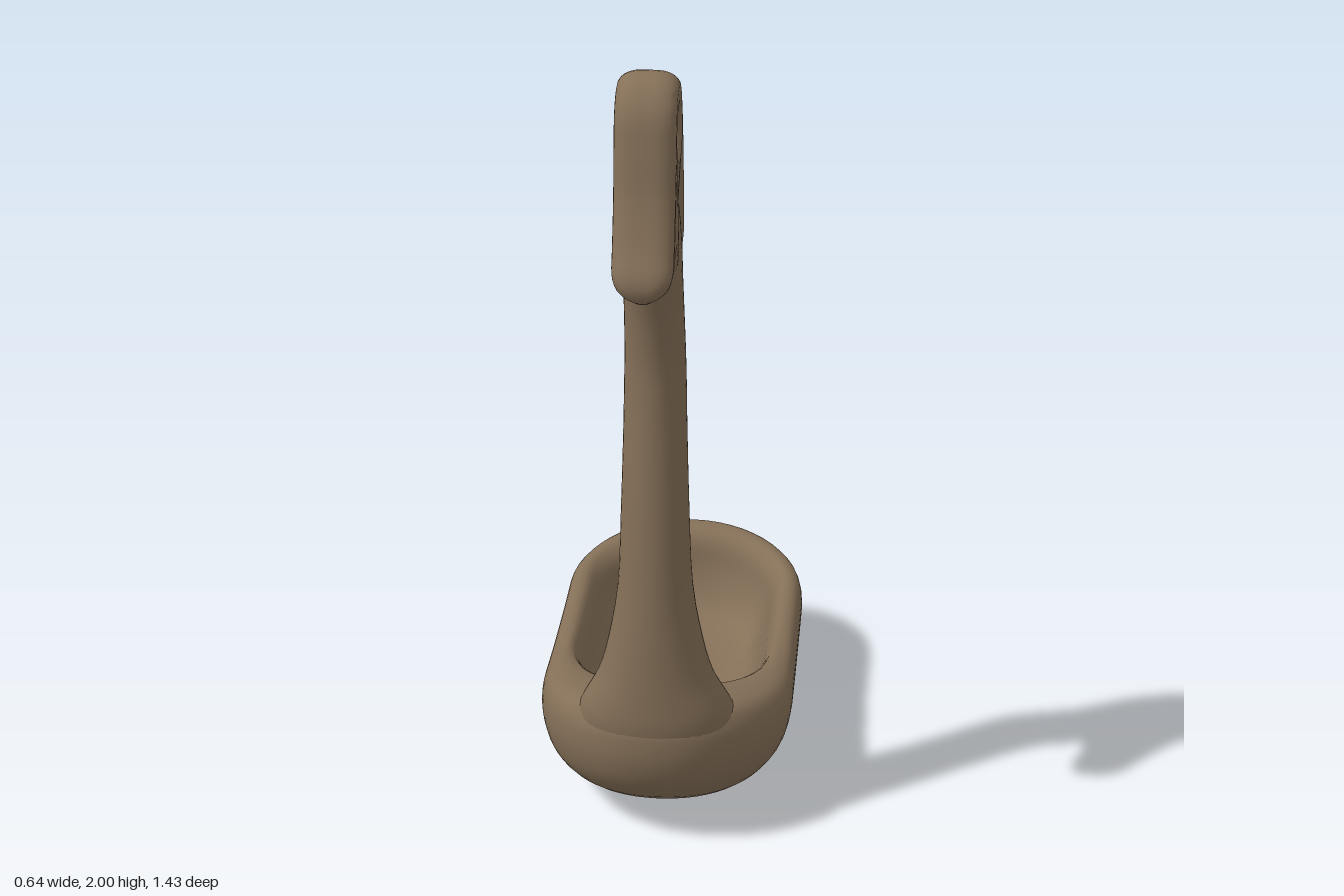
import * as THREE from 'three';
import { toCreasedNormals } from 'three/addons/utils/BufferGeometryUtils.js';

const clay = new THREE.MeshStandardMaterial({ color: 0x857058 });
clay.name = 'brown clay';

// Insert in-between rows with a Catmull-Rom rule, column by column
function refine(rows, steps) {
  const out = [];
  const at = (i) => rows[Math.min(Math.max(i, 0), rows.length - 1)];
  for (let i = 0; i < rows.length - 1; i++) {
    for (let s = 0; s < steps; s++) {
      const t = s / steps;
      out.push(rows[i].map((p1, k) => {
        const p0 = at(i - 1)[k], p2 = at(i + 1)[k], p3 = at(i + 2)[k];
        return p1 + 0.5 * t * (p2 - p0 + t * (2 * p0 - 5 * p1 + 4 * p2 - p3 + t * (3 * (p1 - p2) + p3 - p0)));
      }));
    }
  }
  out.push(rows[rows.length - 1]);
  return out;
}

// Skin closed rings; pointAt(row, cos, sin) gives one [x, y, z]
function loft(rows, segments, pointAt) {
  const positions = [], index = [];
  rows.forEach((row, i) => {
    for (let j = 0; j < segments; j++) {
      const a = (j / segments) * Math.PI * 2;
      positions.push(...pointAt(row, Math.cos(a), Math.sin(a)));
      if (i === rows.length - 1) continue;
      const p = i * segments + j, q = i * segments + ((j + 1) % segments);
      index.push(p, p + segments, q, q, p + segments, q + segments);
    }
  });
  const geometry = new THREE.BufferGeometry();
  geometry.setAttribute('position', new THREE.Float32BufferAttribute(positions, 3));
  geometry.setIndex(index);
  geometry.computeVertexNormals();
  return geometry;
}

// Bowl: rings from the underside, over the rim, to the hollow floor
function bowlGeometry() {
  // back z, front z, half width, back y, middle y, front y
  const rings = [
    [-0.10, -0.10, 0.00, 0.000, 0.000, 0.000],
    [-0.30, 0.10, 0.10, 0.012, 0.005, 0.010],
    [-0.47, 0.28, 0.18, 0.035, 0.020, 0.045],
    [-0.60, 0.40, 0.255, 0.080, 0.060, 0.100],
    [-0.67, 0.465, 0.30, 0.150, 0.120, 0.165],
    [-0.705, 0.495, 0.318, 0.240, 0.185, 0.235],
    [-0.71, 0.503, 0.32, 0.290, 0.235, 0.300],
    [-0.70, 0.495, 0.31, 0.335, 0.275, 0.350],
    [-0.675, 0.45, 0.288, 0.350, 0.290, 0.390],
    [-0.64, 0.275, 0.262, 0.340, 0.286, 0.350],
    [-0.615, 0.24, 0.24, 0.305, 0.250, 0.300],
    [-0.60, 0.19, 0.22, 0.220, 0.185, 0.200],
    [-0.54, 0.13, 0.185, 0.125, 0.115, 0.128],
    [-0.38, 0.05, 0.12, 0.080, 0.080, 0.085],
    [-0.16, -0.16, 0.00, 0.070, 0.070, 0.070],
  ];
  // Outline: nearly straight sides between two rounded ends
  return loft(refine(rings, 3), 80, ([back, front, w, yb, ym, yf], c, t) => {
    const end = Math.max(0, (t - 0.3) / 0.7, (-t - 0.52) / 0.48);
    const x = Math.sign(c) * w * Math.pow(Math.max(0, 1 - Math.pow(end, 2.1)), 1 / 2.1);
    const y = t > 0 ? ym + (yf - ym) * t * t : ym - (yb - ym) * t * t * t;
    return [x, y, (back + front) / 2 + ((front - back) / 2) * t];
  });
}

// Neck: upright rings flaring into the bowl
function neckGeometry() {
  // y, back z, front z, half width
  const rings = [
    [0.20, 0.26, 0.46, 0.120],
    [0.28, 0.24, 0.490, 0.175],
    [0.32, 0.237, 0.500, 0.194],
    [0.36, 0.25, 0.505, 0.188],
    [0.40, 0.273, 0.505, 0.170],
    [0.46, 0.29, 0.504, 0.140],
    [0.55, 0.30, 0.502, 0.115],
    [0.70, 0.313, 0.497, 0.090],
    [0.90, 0.32, 0.49, 0.081],
    [1.10, 0.311, 0.48, 0.075],
    [1.20, 0.305, 0.477, 0.073],
    [1.29, 0.306, 0.479, 0.071],
    [1.40, 0.33, 0.498, 0.069],
    [1.50, 0.355, 0.53, 0.068],
    [1.60, 0.377, 0.56, 0.067],
    [1.70, 0.40, 0.54, 0.055],
    [1.74, 0.46, 0.48, 0.010],
  ];
  return loft(refine(rings, 3), 40, ([y, back, front, w], c, s) => [
    w * c, y, (back + front) / 2 + ((front - back) / 2) * s,
  ]);
}

// Head: rounded plate with a drooping beak and an eye hole, drawn as (z, y)
function headGeometry() {
  const outline = [
    [0.43, 1.36], [0.397, 1.45], [0.382, 1.56], [0.388, 1.68], [0.403, 1.80], [0.427, 1.90],
    [0.465, 1.975], [0.52, 2.0], [0.58, 1.985], [0.622, 1.935], [0.64, 1.85],
    [0.655, 1.75], [0.685, 1.65], [0.714, 1.575], [0.707, 1.535], [0.68, 1.52],
    [0.652, 1.54], [0.63, 1.572], [0.597, 1.595], [0.56, 1.58], [0.52, 1.52], [0.475, 1.44],
  ].map(([z, y]) => new THREE.Vector3(z, y, 0));
  const curve = new THREE.CatmullRomCurve3(outline, true);
  const shape = new THREE.Shape(curve.getSpacedPoints(96).slice(0, -1).map((p) => new THREE.Vector2(p.x, p.y)));
  const eye = new THREE.Path();
  eye.absellipse(0.525, 1.865, 0.035, 0.04, 0, Math.PI * 2, false);
  shape.holes.push(eye);
  const geometry = new THREE.ExtrudeGeometry(shape, {
    depth: 0.036, bevelThickness: 0.05, bevelSize: 0.031, bevelOffset: -0.031,
    bevelSegments: 6, curveSegments: 24,
  });
  geometry.translate(0, 0, -0.018);
  geometry.rotateY(-Math.PI / 2);
  // Round the beak tip and thin the root that sinks into the neck
  const p = geometry.attributes.position;
  for (let i = 0; i < p.count; i++) {
    const y = p.getY(i);
    const drop = Math.min(1, Math.max(0, (1.60 - y) / 0.082));
    const thin = p.getZ(i) > 0.61 ? Math.sqrt(1 - drop * drop) : 0.5 + 0.5 * THREE.MathUtils.smoothstep(y, 1.36, 1.62);
    p.setX(i, p.getX(i) * thin);
  }
  return toCreasedNormals(geometry, 1.0);
}

export function createModel() {
  const model = new THREE.Group();
  model.name = 'birdNeckedLadle';
  const parts = { bowl: bowlGeometry(), neck: neckGeometry(), head: headGeometry() };
  for (const [name, geometry] of Object.entries(parts)) {
    const mesh = new THREE.Mesh(geometry, clay);
    mesh.name = name;
    model.add(mesh);
  }
  return model;
}
